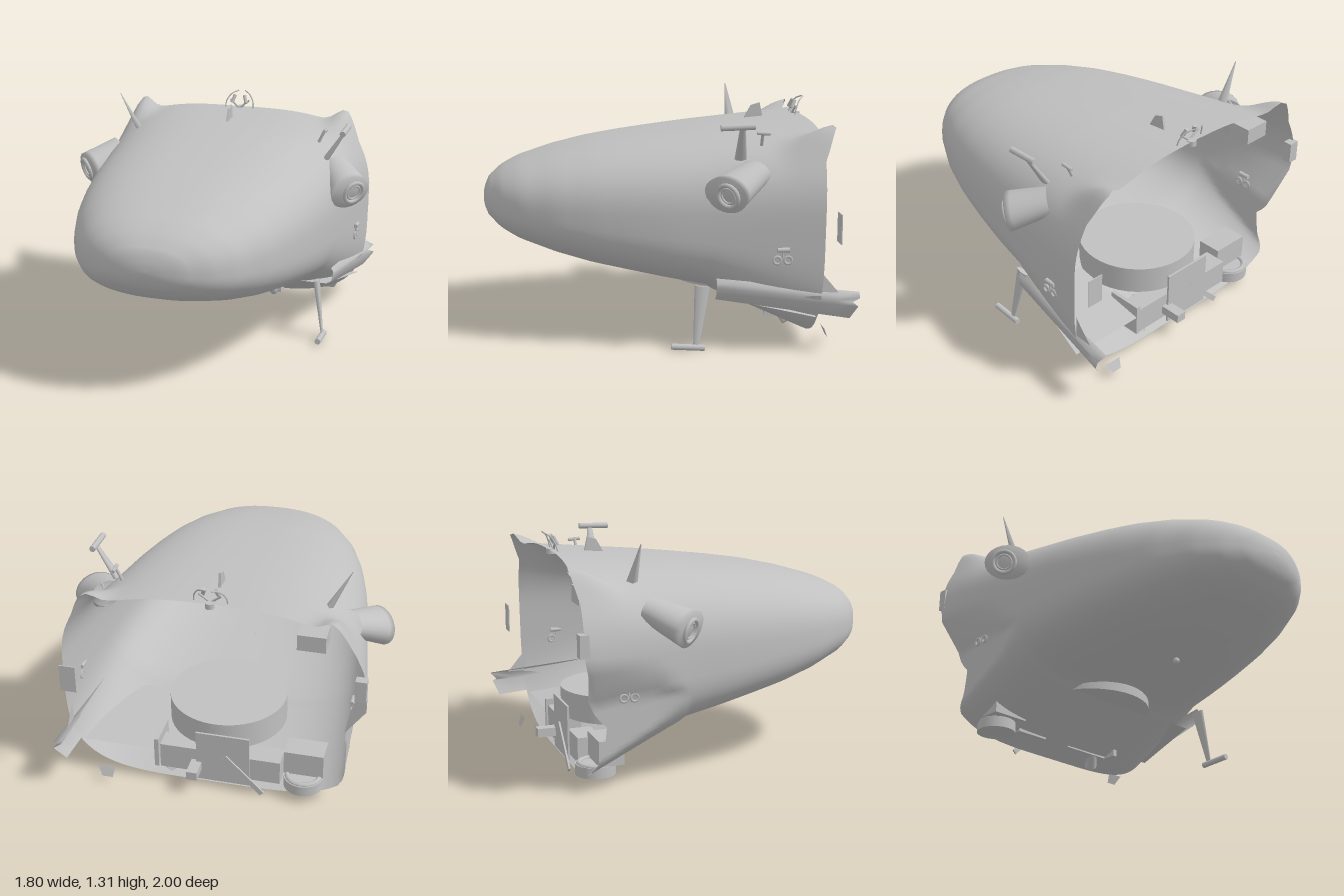
import * as THREE from 'three';

const hullGrey = new THREE.MeshStandardMaterial({ color: 0xc0c0c0, side: THREE.DoubleSide });
hullGrey.name = 'hullGrey';
const { lerp, smoothstep, degToRad } = THREE.MathUtils;
const V = (x, y, z) => new THREE.Vector3(x, y, z);

// Piecewise linear lookup: rows of [key, ...values] with rising keys
function sample(rows, k) {
  let i = 0;
  while (i < rows.length - 2 && k > rows[i + 1][0]) i++;
  const a = rows[i], b = rows[i + 1];
  const u = THREE.MathUtils.clamp((k - a[0]) / (b[0] - a[0]), 0, 1);
  return a.slice(1).map((v, j) => lerp(v, b[j + 1], u));
}

// Skin through rows of cross-section points, front to back
function loft(rows, cols, point, closed = true) {
  const pos = [], idx = [], stride = closed ? cols : cols + 1;
  for (let i = 0; i <= rows; i++)
    for (let j = 0; j < stride; j++) pos.push(...point(i / rows, j / cols));
  for (let i = 0; i < rows; i++)
    for (let j = 0; j < cols; j++) {
      const k = (j + 1) % stride;
      const a = i * stride + j, b = i * stride + k, c = a + stride, d = b + stride;
      idx.push(a, c, b, b, c, d);
    }
  const g = new THREE.BufferGeometry();
  g.setAttribute('position', new THREE.Float32BufferAttribute(pos, 3));
  g.setIndex(idx);
  g.computeVertexNormals();
  return g;
}

// Rounded-box section point: half width, top, bottom, widest height, exponents
function section(t, w, top, bot, cy, nTop, nBot) {
  const c = Math.cos(t), s = Math.sin(t), n = s > 0 ? nTop : nBot;
  const x = w * Math.sign(c) * Math.abs(c) ** (2 / n);
  const y = cy + (s > 0 ? top - cy : cy - bot) * Math.sign(s) * Math.abs(s) ** (2 / n);
  return [x, y];
}

// Distance behind the nose tip, half width, top, bottom
const NOSE = [
  [0, 0, 0.75, 0.75], [0.002, 0.07, 0.785, 0.72], [0.01, 0.13, 0.815, 0.69], [0.03, 0.21, 0.86, 0.65],
  [0.1, 0.34, 0.92, 0.585], [0.2, 0.44, 0.97, 0.53], [0.4, 0.55, 1.03, 0.46], [0.6, 0.62, 1.075, 0.405],
  [0.8, 0.67, 1.105, 0.365], [1, 0.71, 1.13, 0.325], [1.22, 0.74, 1.155, 0.285],
];
// Torn rear edge: angle around the section, z
const TORN = [
  [0, -0.8], [30, -0.81], [45, -0.88], [60, -0.83], [90, -0.81], [120, -0.83], [135, -0.88], [150, -0.84],
  [178, -0.84], [186, -0.78], [195, -0.7], [212, -0.72], [225, -0.77], [270, -0.77], [320, -0.78], [360, -0.8],
];
const SEAM = 0.65;

function hullPoint(u, v) {
  const t = v * Math.PI * 2;
  if (u <= SEAM) {
    const s = u / SEAM, d = 1.22 * s * s;
    const [w, top, bot] = sample(NOSE, d);
    const [x, y] = section(t, w, top, bot, lerp(0.75, 0.68, s), lerp(2.3, 2.8, s), lerp(2.3, 3.3, s * s));
    return [x, y, 1 - d];
  }
  const z = lerp(-0.22, sample(TORN, v * 360)[0], (u - SEAM) / (1 - SEAM));
  const k = (-0.22 - z) / 0.58;
  let [x, y] = section(t, lerp(0.74, 0.83, k), lerp(1.155, 1.205, k),
    lerp(0.275, 0.03, Math.min(1, k * 1.05)), 0.68, lerp(2.8, 3, k), lerp(3.3, 4, k));
  // Upper corners swell toward the rear, the lower right flank stays narrow
  if (y > 0.9)
    y += 0.1 * smoothstep(-z, 0.55, 0.86) * Math.exp(-(((Math.abs(x) - 0.66) / 0.08) ** 2));
  if (x < 0) x = Math.max(x, -(lerp(0.74, 0.72, Math.min(1, k * 3)) + 0.11 * smoothstep(y, 0.52, 0.68)));
  return [x, y, z];
}

export function createModel() {
  const model = new THREE.Group();
  const add = (name, geo, pos = [0, 0, 0], rot = [0, 0, 0]) => {
    const m = new THREE.Mesh(geo, hullGrey);
    m.name = name;
    m.position.set(...pos);
    m.rotation.set(...rot);
    model.add(m);
    return m;
  };
  const box = (name, size, pos, rot) => add(name, new THREE.BoxGeometry(...size), pos, rot);
  // Round bar between two points
  const rod = (name, a, b, r0, r1 = r0, sides = 12) => {
    const d = b.clone().sub(a);
    const m = add(name, new THREE.CylinderGeometry(r1, r0, d.length(), sides));
    m.position.copy(a).add(b).multiplyScalar(0.5);
    m.quaternion.setFromUnitVectors(V(0, 1, 0), d.normalize());
    return m;
  };
  const tube = (name, pts, r) =>
    add(name, new THREE.TubeGeometry(new THREE.CatmullRomCurve3(pts), 12, r, 6));

  // Main shell
  add('hullShell', loft(40, 96, hullPoint));

  for (const s of [-1, 1]) {
    // Side thruster pod: oval face swept back into the skin
    const face = V(s * 0.81, 0.875, -0.27), tail = V(s * 0.68, 0.97, -0.45);
    const out = V(s * 0.7, -0.25, 0.65).normalize();
    const across = V(s * 0.68, 0, -0.73).normalize();
    const up = V(0, 0, 0).crossVectors(out, across).multiplyScalar(s);
    add('thrusterPod', loft(8, 24, (u, v) => {
      const a = v * Math.PI * 2, back = Math.max(0, (u - 0.125) / 0.875);
      const r = u === 0 ? 0 : 1 - 0.3 * back;
      return face.clone().lerp(tail, back)
        .addScaledVector(across, 0.13 * r * Math.cos(a))
        .addScaledVector(up, 0.1 * r * Math.sin(a)).toArray();
    }));
    const ring = (name, r, t, off) => {
      const m = add(name, new THREE.TorusGeometry(r, t, 8, 20));
      m.position.copy(face).addScaledVector(across, 0.02).addScaledVector(out, off);
      m.quaternion.setFromUnitVectors(V(0, 0, 1), out);
    };
    ring('podRim', 0.062, 0.012, 0.008);
    ring('podInnerRim', 0.042, 0.006, 0.006);
    // Flank nozzle cluster
    const x = s > 0 ? 0.8 : -0.725;
    for (const z of [-0.55, -0.608]) add('flankNozzle', new THREE.TorusGeometry(0.02, 0.007, 6, 14), [x, 0.52, z], [0, Math.PI / 2, 0]);
    rod('flankNozzleBar', V(x, 0.575, -0.55), V(x, 0.575, -0.615), 0.013);
    rod('flankNozzleStem', V(x, 0.53, -0.58), V(x, 0.57, -0.58), 0.006);
    // Curved whip aerials on the roof edge
    tube('roofAerial', [V(s * 0.09, 1.2, -0.78), V(s * 0.085, 1.24, -0.79), V(s * 0.06, 1.28, -0.81), V(s * 0.02, 1.3, -0.84)], 0.004);
    rod('roofAerialArm', V(0, 1.2, -0.78), V(s * 0.06, 1.25, -0.79), 0.006);
    rod('roofAerialTip', V(s * 0.045, 1.235, -0.77), V(s * 0.03, 1.28, -0.79), 0.011);
  }
  rod('roofAerialBase', V(0, 1.18, -0.8), V(0, 1.21, -0.8), 0.025);

  // T-shaped masts on the left side, thin across and wide along z
  rod('upperMast', V(0.645, 1.04, -0.375), V(0.755, 1.215, -0.365), 0.034, 0.016, 8).scale.x = 0.5;
  rod('upperMastBar', V(0.757, 1.22, -0.25), V(0.757, 1.225, -0.43), 0.017);
  rod('lowerMast', V(0.7, 0.03, -0.135), V(0.65, 0.35, -0.175), 0.016, 0.044, 8).scale.x = 0.4;
  rod('lowerMastBar', V(0.702, 0.035, 0), V(0.702, 0.022, -0.18), 0.017);
  rod('smallMast', V(0.565, 1.09, -0.5), V(0.605, 1.175, -0.5), 0.009, 0.009, 8);
  rod('smallMastBar', V(0.605, 1.17, -0.47), V(0.605, 1.165, -0.54), 0.01, 0.01, 8);

  // Roof spike and central fin
  rod('roofSpike', V(-0.57, 1.1, -0.51), V(-0.68, 1.31, -0.495), 0.032, 0.003, 4).scale.x = 0.6;
  const fin = new THREE.Shape([[0.49, 1.16], [0.54, 1.25], [0.59, 1.265], [0.61, 1.17]].map(p => new THREE.Vector2(...p)));
  add('roofFin', new THREE.ExtrudeGeometry(fin, { depth: 0.014, bevelEnabled: false }), [-0.007, 0, 0], [0, Math.PI / 2, 0]);
  add('bellySensor', new THREE.SphereGeometry(0.019, 12, 8), [0, 0.36, 0.26]);

  // Wing root strake along the left flank
  const strake = [[0.72, 0.41, 0.79, 0.335], [0.735, 0.385, 0.845, 0.315], [0.73, 0.36, 0.815, 0.285], [0.725, 0.33, 0.85, 0.27], [0.68, 0.285, 0.79, 0.19]];
  add('wingRootStrake', loft(8, 4, (u, v) => {
    const i = Math.round(v * 4), [x0, y0, x1, y1] = strake[i];
    return [lerp(x0, x1, u), lerp(y0, y1, u), lerp(-0.24, [-1, -0.99, -0.96, -0.98, -0.95][i], u)];
  }, false));

  // Interior drum and equipment on the sloping floor
  add('floorDrum', new THREE.CylinderGeometry(0.33, 0.33, 0.155, 40), [0, 0.3325, -0.42]);
  add('leftFloorPanel', loft(1, 1, (u, v) => [lerp(0.33, lerp(0.68, 0.79, u), v), lerp(0.285, 0.2, u), lerp(-0.3, -0.77, u)], false));
  box('floorDivider', [0.025, 0.18, 0.2], [0.33, 0.175, -0.67]);
  box('centreLocker', [0.3, 0.15, 0.12], [0.16, 0.155, -0.7]);
  box('centrePanel', [0.3, 0.31, 0.012], [-0.05, 0.2, -0.77]);
  box('sideLocker', [0.2, 0.14, 0.13], [-0.27, 0.15, -0.7]);
  box('rightLocker', [0.22, 0.14, 0.14], [-0.49, 0.19, -0.64]);
  add('floorCanister', new THREE.CylinderGeometry(0.11, 0.11, 0.06, 24), [-0.49, 0.085, -0.7]);
  add('canisterRim', new THREE.TorusGeometry(0.09, 0.014, 8, 24), [-0.49, 0.115, -0.7], [Math.PI / 2, 0, 0]);
  rod('looseCylinder', V(0.18, 0.19, -0.62), V(0.27, 0.035, -0.72), 0.035);
  box('looseStrip', [0.3, 0.03, 0.01], [-0.17, 0.12, -0.79], [0, 0, degToRad(45)]);
  box('rearBracket', [0.06, 0.05, 0.12], [0.1, 0.135, -0.82]);

  // Fittings on the torn edge
  box('roofLocker', [0.15, 0.09, 0.13], [-0.53, 1.04, -0.74]);
  box('rightEdgeBox', [0.06, 0.12, 0.05], [-0.8, 0.83, -0.84]);
  box('leftEdgePlate', [0.09, 0.16, 0.006], [0.77, 0.68, -0.89]);
  const shard = (name, pts, pos, rot) =>
    add(name, new THREE.ShapeGeometry(new THREE.Shape(pts.map(p => new THREE.Vector2(...p)))), pos, rot);
  shard('looseShard', [[-0.05, 0.03], [0.05, 0.03], [0.02, -0.03], [-0.04, -0.03]], [0.6, 0.065, -0.86], [0.4, 0, 0]);
  shard('tornSpike', [[0.78, 0.46], [0.78, 0.33], [0.89, 0.33]], [0.8, 0, 0], [0, Math.PI / 2, 0]);
  return model;
}
